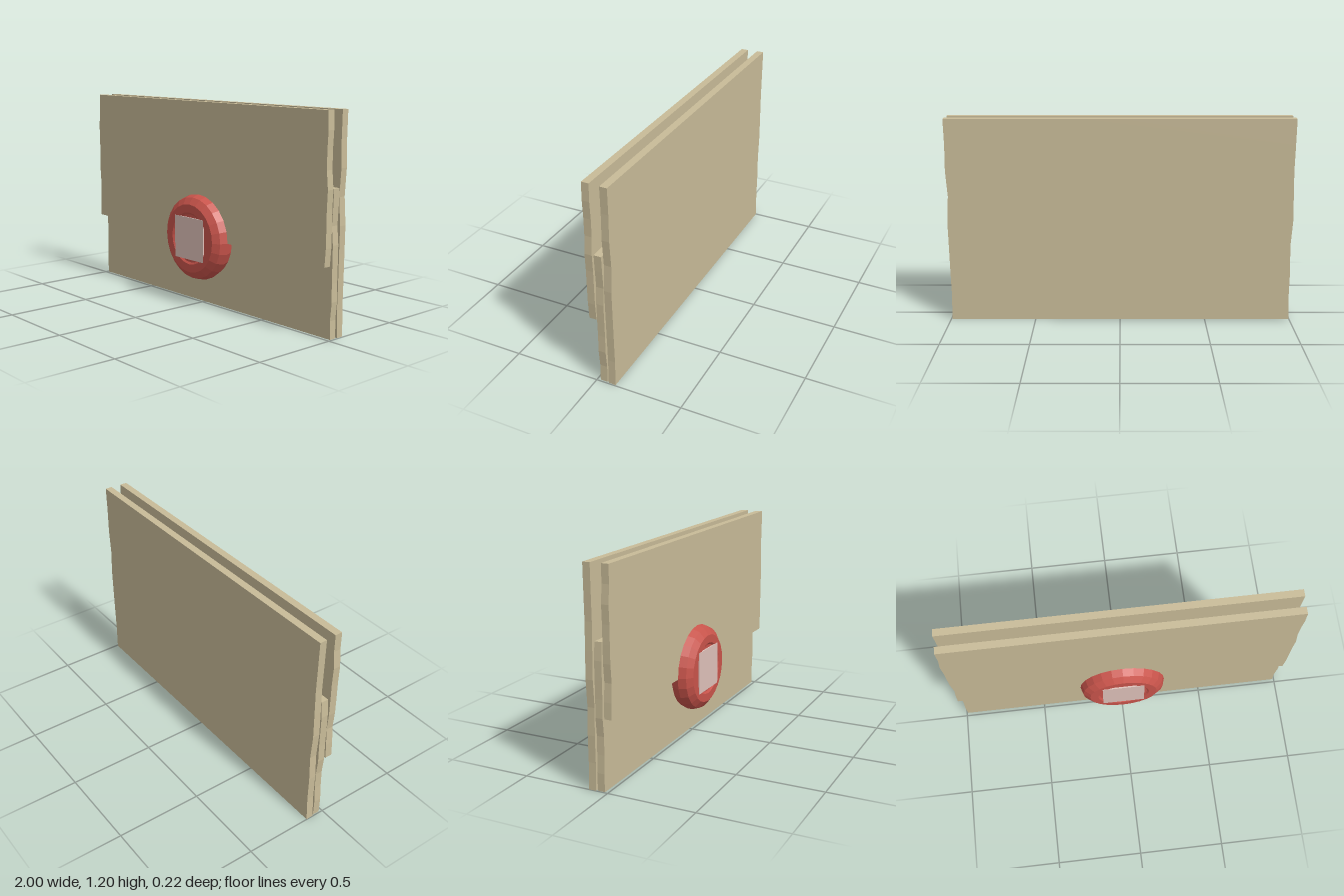
import * as THREE from 'three';

const paper = new THREE.MeshStandardMaterial({ name: 'parchment', color: 0xc8bb98, flatShading: true });
const wax = new THREE.MeshStandardMaterial({ name: 'redWax', color: 0xc9544b, flatShading: true });
const pale = new THREE.MeshStandardMaterial({ name: 'paleStamp', color: 0xdfc1ba });

// Small irregular offset between -1 and 0 for the hand-cut edges
const wobble = (t, seed) => (Math.sin(t * 11 + seed) + Math.sin(t * 23 + seed * 2.3) - 2) / 4;

// Thin sheet with wavy sides; top and bottom may be wavy too
function sheet(name, y0, y1, zBack, seed, waveTop = 0, waveBottom = 0) {
  const pts = [];
  const across = 10, up = 8;
  const side = (y, s) => 1 + 0.014 * wobble(y, s);
  const xBL = -side(y0, seed), xBR = side(y0, seed + 2);
  const xTL = -side(y1, seed), xTR = side(y1, seed + 2);
  for (let i = 0; i < across; i++) {
    const t = i / across;
    pts.push([xBL + (xBR - xBL) * t, y0 - waveBottom * wobble(t, seed)]);
  }
  for (let i = 0; i < up; i++) {
    const y = y0 + (y1 - y0) * i / up;
    pts.push([side(y, seed + 2), i ? y : y0 - waveBottom * wobble(1, seed)]);
  }
  for (let i = 0; i < across; i++) {
    const t = i / across;
    pts.push([xTR + (xTL - xTR) * t, y1 + waveTop * wobble(t, seed)]);
  }
  for (let i = 0; i < up; i++) {
    const y = y1 + (y0 - y1) * i / up;
    pts.push([-side(y, seed), i ? y : y1 + waveTop * wobble(1, seed)]);
  }
  // Drop the duplicated corner so each outline point is unique
  const shape = new THREE.Shape(pts.map(([x, y]) => new THREE.Vector2(x, y)));
  const geo = new THREE.ExtrudeGeometry(shape, { depth: 0.042, bevelEnabled: false });
  const mesh = new THREE.Mesh(geo, paper);
  mesh.name = name;
  mesh.position.z = zBack;
  return mesh;
}

export function createModel() {
  const model = new THREE.Group();
  model.name = 'sealedLetter';

  // Three folded layers
  model.add(
    sheet('backSheet', 0, 1.195, -0.112, 0.6),
    sheet('lowerFlap', 0, 0.802, -0.061, 2.1, 0.012),
    sheet('upperFlap', 0.39, 1.195, -0.01, 4.4, 0, 0.012)
  );

  // Wax seal: rounded rim around a flat disc
  const seal = new THREE.Group();
  seal.name = 'waxSeal';
  seal.position.set(0, 0.4, 0.03);
  const rim = new THREE.Mesh(new THREE.TorusGeometry(0.178, 0.077, 10, 24), wax);
  rim.name = 'sealRim';
  const discGeo = new THREE.CylinderGeometry(0.17, 0.17, 0.13, 24);
  discGeo.rotateX(Math.PI / 2);
  const disc = new THREE.Mesh(discGeo, wax);
  disc.name = 'sealDisc';

  // Square stamp mark
  const mark = new THREE.Mesh(new THREE.BoxGeometry(0.25, 0.25, 0.008), pale);
  mark.name = 'stampMark';
  mark.position.z = 0.072;
  seal.add(rim, disc, mark);
  model.add(seal);
  return model;
}
